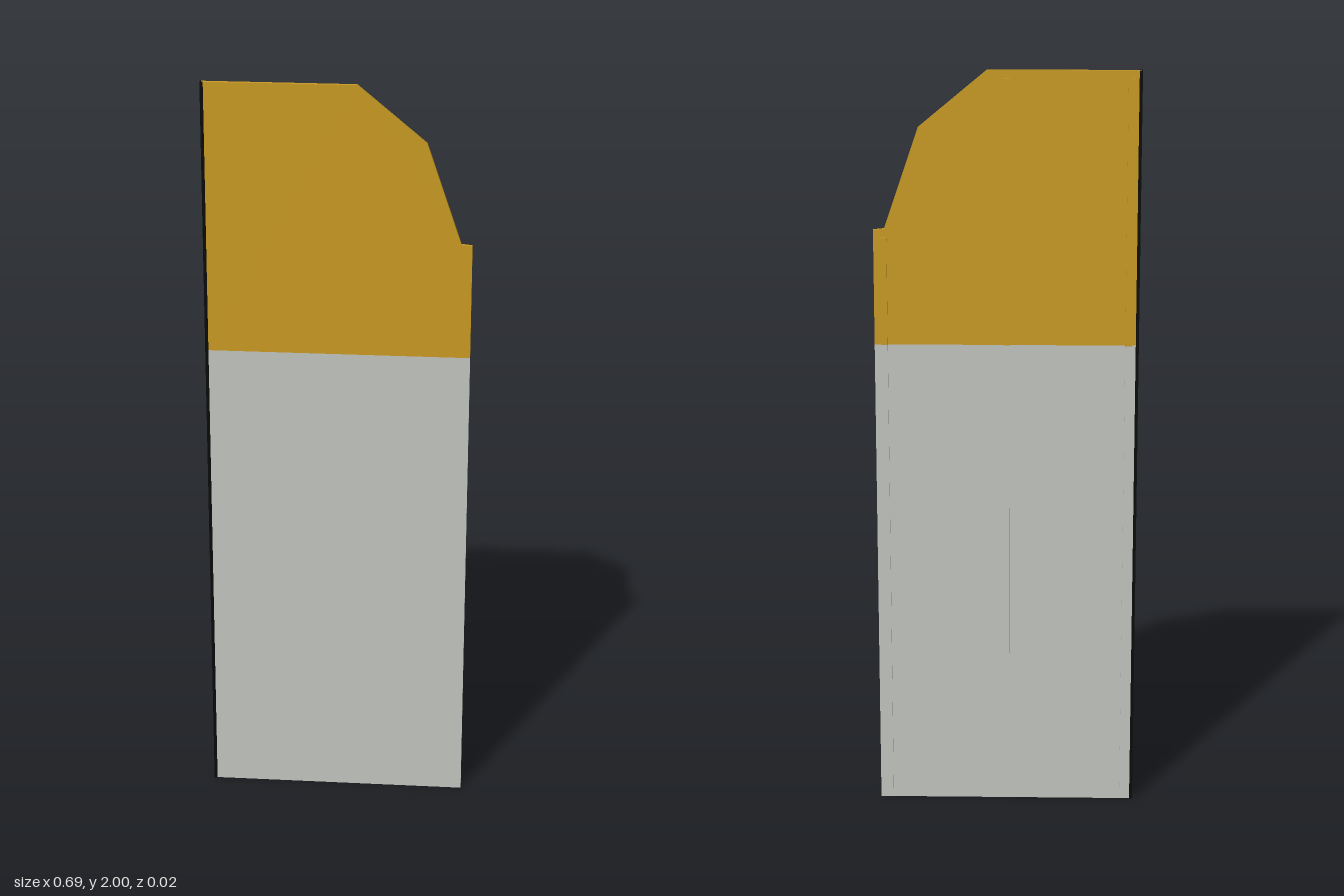
import * as THREE from 'three';

const SEAM = 1.283; // height where the lower colour meets the upper one
const HALF = 0.005; // half the sheet thickness

export function createModel() {
  const group = new THREE.Group();
  group.name = 'panel';
  const make = (name, color) => {
    const m = new THREE.MeshStandardMaterial({ color });
    m.name = name;
    return m;
  };
  const gold = make('gold', 0xc99a22);
  const grey = make('lightGrey', 0xc2c4bf);
  const black = make('black', 0x080808);

  const add = (name, geometry, material) => {
    const mesh = new THREE.Mesh(geometry, material);
    mesh.name = name;
    group.add(mesh);
    return mesh;
  };
  const box = (name, material, x0, x1, y0, y1, z0, z1) =>
    add(name, new THREE.BoxGeometry(x1 - x0, y1 - y0, z1 - z0), material)
      .position.set((x0 + x1) / 2, (y0 + y1) / 2, (z0 + z1) / 2);

  // Flat sheet: plain lower part, upper part with a faceted shoulder
  box('lowerSheet', grey, -0.342, 0.345, 0, SEAM, -HALF, HALF);
  const outline = [
    [-0.342, SEAM], [0.345, SEAM], [0.345, 1.587], [0.317, 1.59],
    [0.227, 1.853], [0.05, 2], [-0.342, 2],
  ].map(([x, y]) => new THREE.Vector2(x, y));
  const upper = new THREE.ExtrudeGeometry(new THREE.Shape(outline), { depth: 2 * HALF, bevelEnabled: false });
  upper.translate(0, 0, -HALF);
  add('upperSheet', upper, gold);

  // Three vertical battens on the back, coloured like the sheet they sit on
  for (const [side, x, top] of [['right', -0.318, 1.98], ['middle', 0, 1.98], ['left', 0.319, 1.567]]) {
    box(side + 'LowerBatten', grey, x - 0.0085, x + 0.0085, 0.02, SEAM, -0.012, -HALF);
    box(side + 'UpperBatten', gold, x - 0.0085, x + 0.0085, SEAM, top, -0.012, -HALF);
  }

  // Black U-channel wrapped round the right edge
  const u = [
    [-0.345, -0.008], [-0.337, -0.008], [-0.337, -HALF], [-0.342, -HALF],
    [-0.342, HALF], [-0.337, HALF], [-0.337, 0.008], [-0.345, 0.008],
  ].map(([x, z]) => new THREE.Vector2(x, -z));
  const channel = new THREE.ExtrudeGeometry(new THREE.Shape(u), { depth: 2, bevelEnabled: false });
  channel.rotateX(-Math.PI / 2);
  add('edgeChannel', channel, black);

  // Share the depth evenly about the middle
  for (const mesh of group.children) mesh.position.z += 0.001;
  return group;
}
